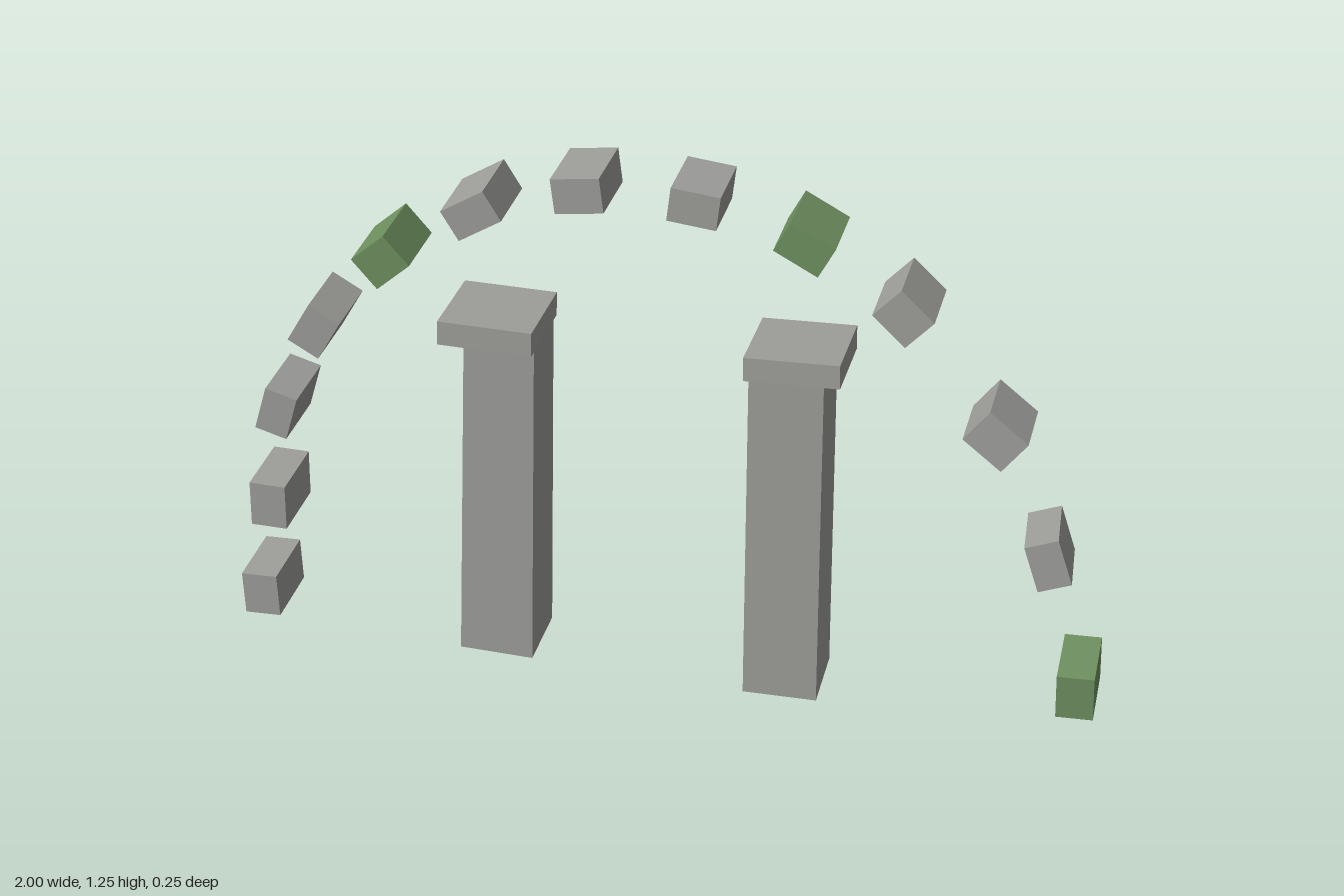
import * as THREE from 'three';

export function createModel() {
  const model = new THREE.Group();
  const stone = new THREE.MeshStandardMaterial({ color: 0x9e9e9b });
  stone.name = 'grey stone';
  const moss = new THREE.MeshStandardMaterial({ color: 0x6f9160 });
  moss.name = 'mossy green';

  // Box whose top end can be narrowed, placed with a slight tilt
  function block(name, material, size, position, rotation, taper = 1) {
    const geometry = new THREE.BoxGeometry(...size);
    const p = geometry.attributes.position;
    for (let i = 0; i < p.count; i++) {
      if (p.getY(i) > 0) p.setXYZ(i, p.getX(i) * taper, p.getY(i), p.getZ(i) * taper);
    }
    geometry.computeVertexNormals();
    const mesh = new THREE.Mesh(geometry, material);
    mesh.name = name;
    mesh.position.set(...position);
    mesh.rotation.set(...rotation);
    model.add(mesh);
  }

  // Two leaning pillars with square caps
  block('rightPillar', stone, [0.172, 0.82, 0.176], [-0.366, 0.428, -0.017], [-0.01, 0, -0.03], 0.93);
  block('rightCap', stone, [0.212, 0.056, 0.212], [-0.369, 0.868, 0.013], [-0.03, 0, -0.02]);
  block('leftPillar', stone, [0.17, 0.82, 0.176], [0.289, 0.415, -0.017], [-0.015, 0.01, 0.005], 0.97);
  block('leftCap', stone, [0.21, 0.055, 0.208], [0.306, 0.857, -0.004], [-0.05, 0, 0.03]);

  // Floating arch stones: x, y, z, turn along the arch, width, length, mossy, pitch, yaw
  const arch = [
    [-0.956, 0.085, -0.02, 0.03, 0.085, 0.107, 0, 0, 0],
    [-0.921, 0.335, -0.02, -0.02, 0.085, 0.112, 0, 0, 0],
    [-0.885, 0.585, -0.02, -0.29, 0.076, 0.11, 0, 0, 0],
    [-0.782, 0.808, -0.02, -0.53, 0.08, 0.107, 0, 0, 0],
    [-0.617, 1.0, -0.02, -0.86, 0.087, 0.1, 1, 0, 0],
    [-0.407, 1.136, -0.02, -1.03, 0.077, 0.112, 0, 0, 0],
    [-0.171, 1.208, -0.02, -1.45, 0.08, 0.108, 0, -0.02, 0],
    [0.081, 1.206, -0.02, -1.69, 0.077, 0.108, 0, -0.02, 0.01],
    [0.32, 1.138, -0.02, -2.06, 0.077, 0.11, 1, -0.02, 0],
    [0.535, 1.0, -0.02, -2.32, 0.088, 0.1, 0, -0.03, 0],
    [0.743, 0.717, -0.036, -2.23, 0.09, 0.11, 0, -0.06, 0],
    [0.869, 0.418, -0.038, -2.81, 0.077, 0.112, 0, -0.07, 0.07],
    [0.956, 0.09, -0.035, -3.11, 0.084, 0.11, 1, 0.02, 0.01]
  ];
  arch.forEach(([x, y, z, turn, width, length, mossy, pitch, yaw], i) => {
    block('archStone' + (i + 1), mossy ? moss : stone, [width, length, 0.168],
      [x, y, z], [pitch, yaw, turn]);
  });

  return model;
}
